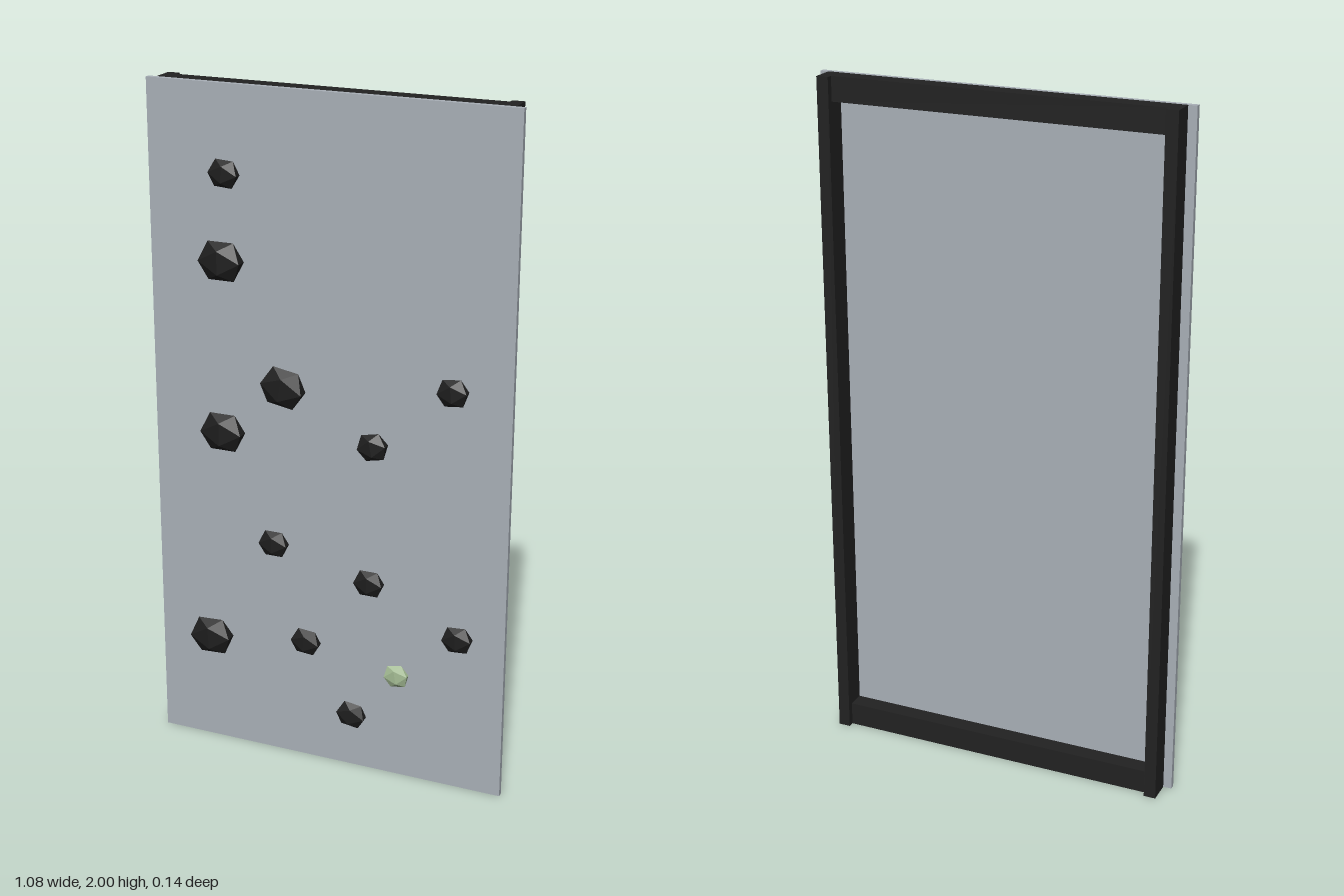
import * as THREE from 'three';

const mat = (name, color, flatShading = false) => {
  const m = new THREE.MeshStandardMaterial({ color, flatShading });
  m.name = name;
  return m;
};

export function createModel() {
  const group = new THREE.Group();
  group.name = 'climbingWall';
  const panelGrey = mat('panelGrey', 0xa9b0b8);
  const frameBlack = mat('frameBlack', 0x222222);
  const holdBlack = mat('holdBlack', 0x1e1e1e, true);
  const holdGreen = mat('holdGreen', 0xa5bd95, true);

  // Box given by its minimum and maximum corners
  const box = (name, material, x0, x1, y0, y1, z0, z1) => {
    const mesh = new THREE.Mesh(new THREE.BoxGeometry(x1 - x0, y1 - y0, z1 - z0), material);
    mesh.position.set((x0 + x1) / 2, (y0 + y1) / 2, (z0 + z1) / 2);
    mesh.name = name;
    group.add(mesh);
  };

  // Climbing panel
  box('panel', panelGrey, -0.54, 0.54, 0, 2, -0.004, 0.012);

  // Back frame: two deep posts and two shallower rails
  box('leftPost', frameBlack, 0.48, 0.515, 0, 2, -0.073, -0.004);
  box('rightPost', frameBlack, -0.515, -0.48, 0, 2, -0.073, -0.004);
  box('topRail', frameBlack, -0.48, 0.48, 1.93, 2, -0.055, -0.004);
  box('bottomRail', frameBlack, -0.48, 0.48, 0, 0.07, -0.055, -0.004);

  // Holds: flattened icosahedra; half width, half height, half depth
  const sizes = {
    large: [0.063, 0.055, 0.027],
    small: [0.043, 0.038, 0.019],
    foot: [0.036, 0.033, 0.012],
  };
  const holds = [
    // x, y, turn in degrees, size
    [-0.30, 1.757, -4, 'small'], [-0.31, 1.512, 0, 'large'],
    [-0.125, 1.167, -10, 'large'], [-0.315, 1.007, 0, 'large'],
    [0.375, 1.22, 6, 'small'], [0.143, 1.028, 12, 'small'],
    [-0.162, 0.682, 0, 'small'], [0.135, 0.61, 0, 'small'],
    [0.405, 0.485, 4, 'small'], [-0.062, 0.386, -5, 'small'],
    [-0.365, 0.35, 3, 'large'], [0.083, 0.176, -8, 'small'],
    [0.22, 0.328, 10, 'foot'],
  ];
  const reach = 0.8507; // axis extent of a unit icosahedron
  const stone = new THREE.IcosahedronGeometry(1, 0);
  for (const [x, y, turn, size] of holds) {
    const [w, h, d] = sizes[size];
    const hold = new THREE.Mesh(stone, size === 'foot' ? holdGreen : holdBlack);
    hold.scale.set(w / reach, h / reach, d / reach);
    hold.rotation.z = THREE.MathUtils.degToRad(turn);
    hold.position.set(x, y, 0.012 + d);
    hold.name = size + 'Hold';
    group.add(hold);
  }
  return group;
}
